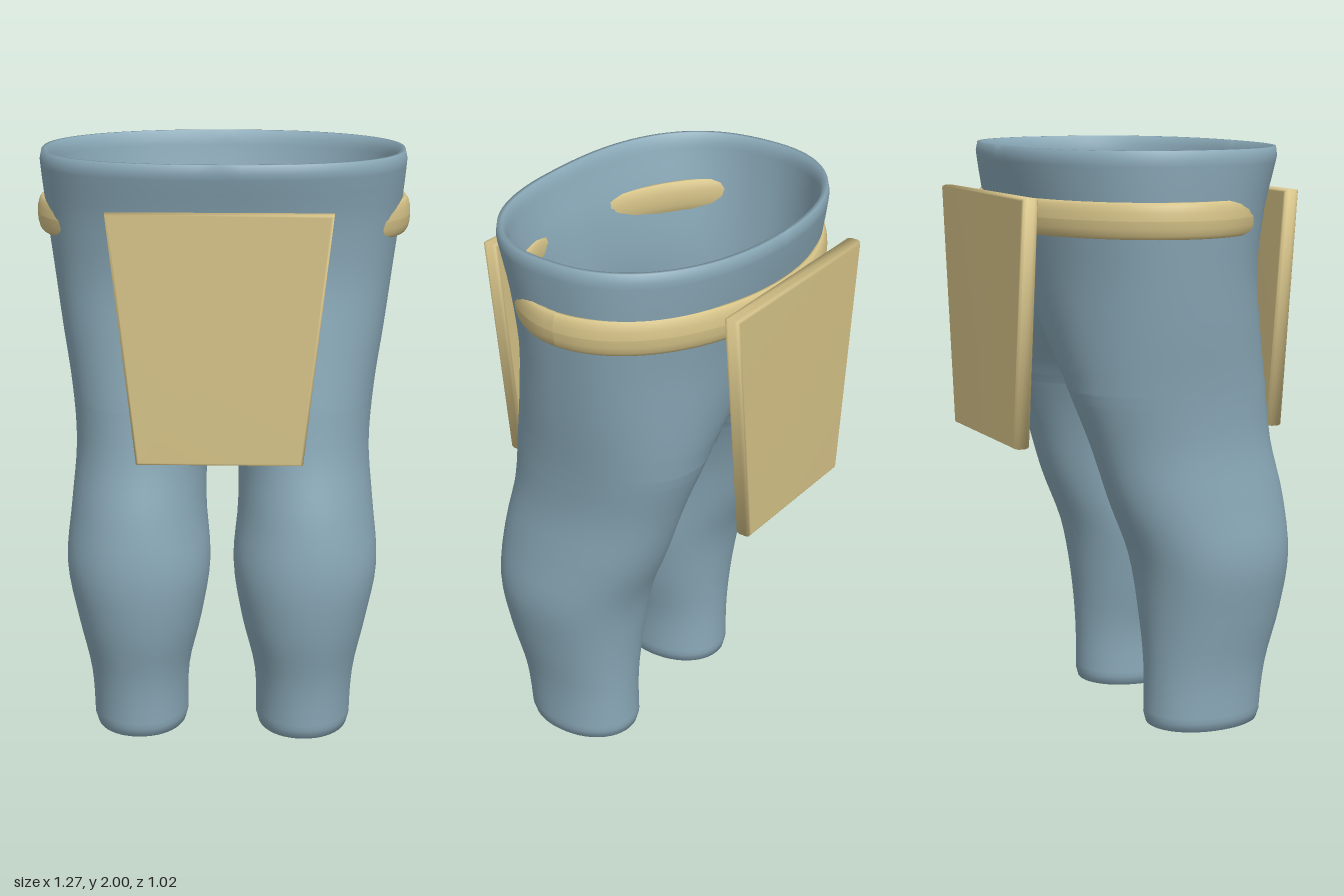
import * as THREE from 'three';
import { mergeVertices } from 'three/addons/utils/BufferGeometryUtils.js';

const cloth = new THREE.MeshStandardMaterial({ color: 0x8aa9b8 });
cloth.name = 'blue cloth';
const gold = new THREE.MeshStandardMaterial({ color: 0xd6c388 });
gold.name = 'pale gold';

// One trouser half every 0.2 up: outer x, inner x, front z, back z.
// A negative inner x means the half runs into its mirror image.
const SECTIONS = [
  [0.45, 0.12, 0.40, -0.02],
  [0.46, 0.115, 0.42, -0.02],
  [0.50, 0.07, 0.47, -0.035],
  [0.535, 0.04, 0.495, -0.07],
  [0.52, 0.055, 0.475, -0.15],
  [0.505, 0.045, 0.43, -0.215],
  [0.52, -0.02, 0.41, -0.285],
  [0.55, -0.2, 0.395, -0.33],
  [0.577, -0.42, 0.39, -0.37],
  [0.602, -0.56, 0.42, -0.415],
  [0.62, -0.62, 0.475, -0.45],
];
const WALL = 0.03;

function sectionAt(y) {
  const f = THREE.MathUtils.clamp(y / 0.2, 0, 10);
  const i = Math.min(Math.floor(f), 9), t = f - i;
  const row = (k) => SECTIONS[THREE.MathUtils.clamp(k, 0, 10)];
  return [0, 1, 2, 3].map((k) => {
    const p0 = row(i - 1)[k], p1 = row(i)[k], p2 = row(i + 1)[k], p3 = row(i + 2)[k];
    return p1 + 0.5 * t * (p2 - p0 + t * (2 * p0 - 5 * p1 + 4 * p2 - p3 + t * (3 * (p1 - p2) + p3 - p0)));
  });
}

// Rounded arc from back to front round the outer side, cut off at x = 0
function arc(y, inset, steps) {
  const [xo, xi, zf, zb] = sectionAt(y);
  const cx = (xo + xi) / 2, cz = (zf + zb) / 2;
  const ax = (xo - xi) / 2 - inset, az = (zf - zb) / 2 - inset;
  const hip = THREE.MathUtils.smoothstep(y, 0.9, 1.8);
  const points = [];
  for (let j = 0; j <= steps; j++) {
    const u = (j / steps) * 2 - 1;
    const n = u > 0 ? 2.1 + 0.35 * hip : 2.1 + 0.1 * hip;
    const end = Math.acos(-Math.pow(Math.min(1, cx / ax), n / 2));
    const c = Math.cos(u * end), s = Math.sin(u * end);
    const x = cx + ax * Math.sign(c) * Math.pow(Math.abs(c), 2 / n);
    const z = cz + az * Math.sign(s) * Math.pow(Math.abs(s), 2 / n);
    points.push([Math.abs(x) < 1e-4 ? 0 : x, y, z]);
  }
  return points;
}

// Height at which the two halves first touch
function crotchHeight(inset) {
  let lo = 1, hi = 1.5;
  for (let k = 0; k < 50; k++) {
    const mid = (lo + hi) / 2;
    if (sectionAt(mid)[1] + inset > 0) lo = mid; else hi = mid;
  }
  return hi;
}

function wallRows(inset) {
  const crotch = crotchHeight(inset);
  const ys = [0.03, 1.97, crotch, crotch + 0.004, crotch + 0.014, crotch + 0.03];
  for (let k = 1; k < 40; k++) ys.push(k * 0.05);
  return ys.sort((a, b) => a - b).map((y) => [y, inset]);
}

// Hollow trousers: up the outside, over the rim and down the inside
function trousersGeometry() {
  const steps = 48;
  const rows = [[0, 0.008], ...wallRows(0), [2, 0.008], [2, 0.022],
    ...wallRows(WALL).reverse(), [0, 0.022], [0, 0.008]];
  const position = [], index = [];
  for (const side of [1, -1]) {
    const base = position.length / 3;
    for (const [y, inset] of rows) {
      for (const p of arc(y, inset, steps)) position.push(p[0] * side, p[1], p[2]);
    }
    for (let i = 0; i < rows.length - 1; i++) {
      for (let j = 0; j < steps; j++) {
        const a = base + i * (steps + 1) + j, b = a + steps + 1;
        if (side > 0) index.push(a, b, b + 1, a, b + 1, a + 1);
        else index.push(a, b + 1, b, a, a + 1, b + 1);
      }
    }
  }
  const g = new THREE.BufferGeometry();
  g.setAttribute('position', new THREE.Float32BufferAttribute(position, 3));
  g.setIndex(index);
  const welded = mergeVertices(g, 1e-4);
  welded.computeVertexNormals();
  return welded;
}

// Oval belt with a tall, thin rounded section
function beltGeometry() {
  const g = new THREE.TorusGeometry(1, 0.5, 14, 80);
  const p = g.attributes.position;
  for (let i = 0; i < p.count; i++) {
    const x = p.getX(i), y = p.getY(i), up = p.getZ(i);
    const angle = Math.atan2(y, x), out = (Math.hypot(x, y) - 1) * 0.04;
    const depth = y > 0 ? 0.44 : 0.42;
    p.setXYZ(i, (0.615 + out) * Math.cos(angle), 1.78 + up * 0.12, -(depth + out) * Math.sin(angle));
  }
  g.computeVertexNormals();
  return g;
}

// Tapered hanging panel with a bevelled edge, softly shaded
function panelGeometry() {
  const shape = new THREE.Shape();
  shape.moveTo(-0.265, 1.03);
  shape.lineTo(0.265, 1.03);
  shape.lineTo(0.355, 1.84);
  shape.lineTo(-0.355, 1.84);
  shape.closePath();
  const g = new THREE.ExtrudeGeometry(shape, {
    depth: 0.025, bevelEnabled: true, bevelSize: 0.01, bevelThickness: 0.016, bevelSegments: 2,
  });
  g.translate(0, 0, -0.0125);
  g.deleteAttribute('normal');
  g.deleteAttribute('uv');
  const welded = mergeVertices(g, 1e-4);
  welded.computeVertexNormals();
  return welded;
}

export function createModel() {
  const model = new THREE.Group();
  model.name = 'trousersWithPanels';
  const add = (name, geometry, material) => {
    const mesh = new THREE.Mesh(geometry, material);
    mesh.name = name;
    model.add(mesh);
    return mesh;
  };
  add('trousers', trousersGeometry(), cloth);
  add('belt', beltGeometry(), gold);
  const panel = panelGeometry();
  add('frontPanel', panel, gold).position.z = 0.48;
  const back = add('backPanel', panel, gold);
  back.position.z = -0.48;
  back.rotation.y = Math.PI;
  return model;
}
